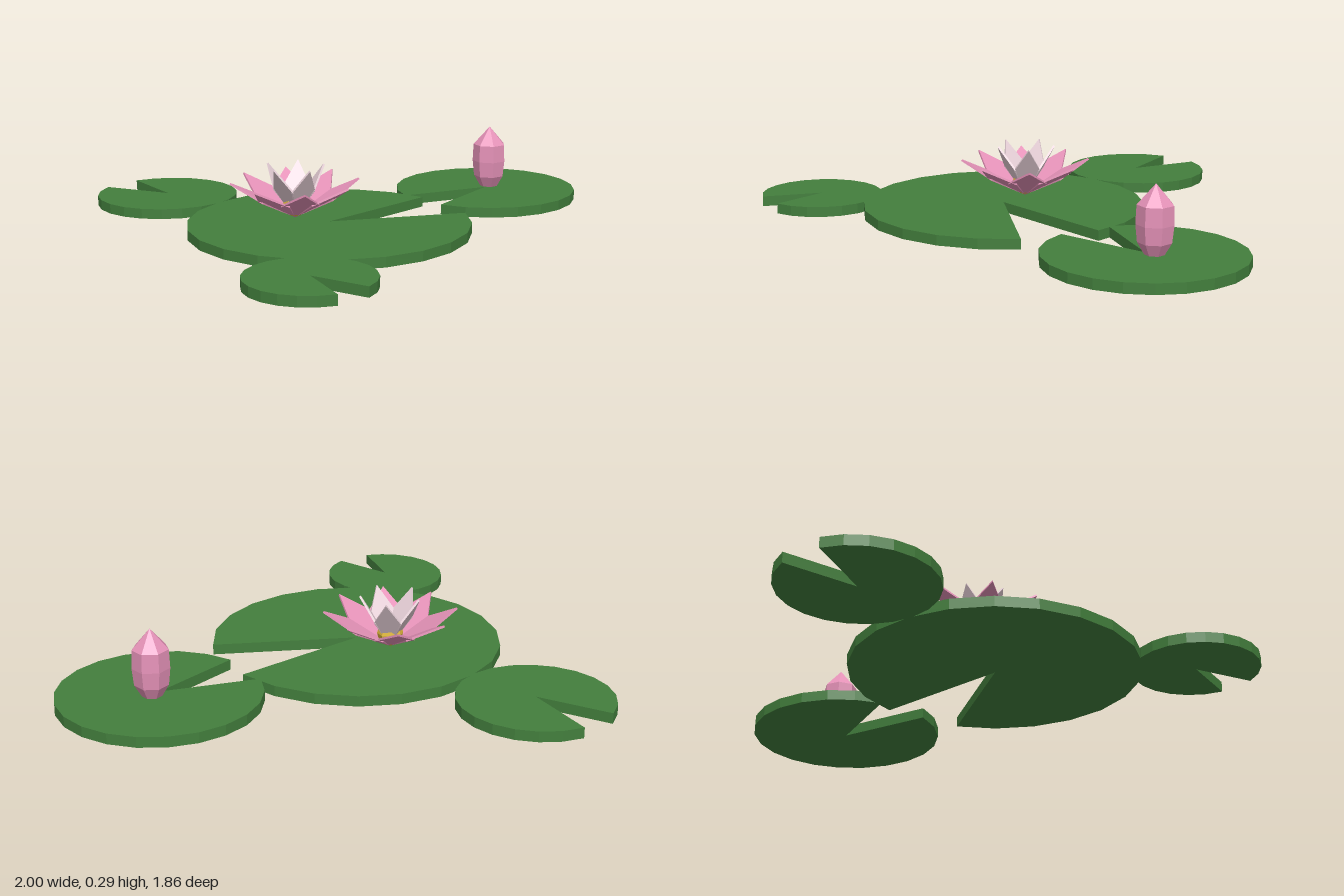
import * as THREE from 'three';

const mat = (name, color) => {
  const m = new THREE.MeshStandardMaterial({ color, flatShading: true });
  m.name = name;
  return m;
};
const rad = THREE.MathUtils.degToRad;
const PAD_TOP = 0.04;

// Round slab with a wedge notch; angles in degrees from +x towards +z
function padGeometry(radius, from, to, sides = 20) {
  const shape = new THREE.Shape().moveTo(0, 0);
  for (let i = 0; i <= sides; i++) {
    const a = rad(from + ((to - from) * i) / sides);
    shape.lineTo(radius * Math.cos(a), radius * Math.sin(a));
  }
  shape.closePath();
  return new THREE.ExtrudeGeometry(shape, { depth: PAD_TOP, bevelEnabled: false })
    .rotateX(Math.PI / 2)
    .translate(0, PAD_TOP, 0);
}

// Thin pointed kite, rooted at the origin and leaning out towards +z
function petalGeometry(length, halfWidth, widest, lean) {
  const shape = new THREE.Shape()
    .moveTo(0, 0)
    .lineTo(halfWidth, length * widest)
    .lineTo(0, length)
    .lineTo(-halfWidth, length * widest)
    .closePath();
  return new THREE.ExtrudeGeometry(shape, { depth: 0.008, bevelEnabled: false })
    .translate(0, 0, -0.004)
    .rotateX(rad(lean));
}

export function createModel() {
  const green = mat('leafGreen', 0x437f3d);
  const pink = mat('petalPink', 0xe592b8);
  const pale = mat('palePink', 0xecd4dc);
  const gold = mat('stamenGold', 0xe0b83c);

  const model = new THREE.Group();
  model.name = 'waterLilies';
  const add = (parent, name, geometry, material, x = 0, y = 0, z = 0) => {
    const mesh = new THREE.Mesh(geometry, material);
    mesh.name = name;
    mesh.position.set(x, y, z);
    parent.add(mesh);
    return mesh;
  };

  // Floating pads: name, x, z, radius, start and end angle
  const pads = [
    ['largePad', -0.13, -0.042, 0.555, -3.5, 323.8],
    ['budPad', 0.62, -0.5, 0.376, 166.5, 493.5],
    ['backPad', -0.712, -0.645, 0.288, -113.5, 213.5],
    ['frontPad', -0.323, 0.685, 0.241, 76.8, 403.6],
  ];
  for (const [name, x, z, r, from, to] of pads) {
    add(model, name, padGeometry(r, from, to), green, x, 0, z);
  }

  // Open flower: outer and inner rings of petals round a golden heart
  const flower = new THREE.Group();
  flower.name = 'flower';
  flower.position.set(-0.25, PAD_TOP + 0.004, -0.135);
  model.add(flower);

  const ring = (name, count, start, geometry, material) => {
    for (let i = 0; i < count; i++) {
      add(flower, name, geometry, material).rotation.y = rad(start + (360 / count) * i);
    }
  };
  ring('outerPetal', 8, 0, petalGeometry(0.292, 0.075, 0.53, 61), pink);
  ring('innerPetal', 5, 21, petalGeometry(0.235, 0.052, 0.55, 30), pale);
  add(flower, 'flowerHeart', new THREE.SphereGeometry(0.05, 8, 6), gold, 0, 0.05, 0);

  // Closed bud
  const budProfile = [[0, 0], [0.037, 0], [0.063, 0.045], [0.07, 0.11], [0.067, 0.18], [0, 0.255]]
    .map(([r, y]) => new THREE.Vector2(r, y));
  add(model, 'bud', new THREE.LatheGeometry(budProfile, 7), pink, 0.645, PAD_TOP, -0.53);

  return model;
}
